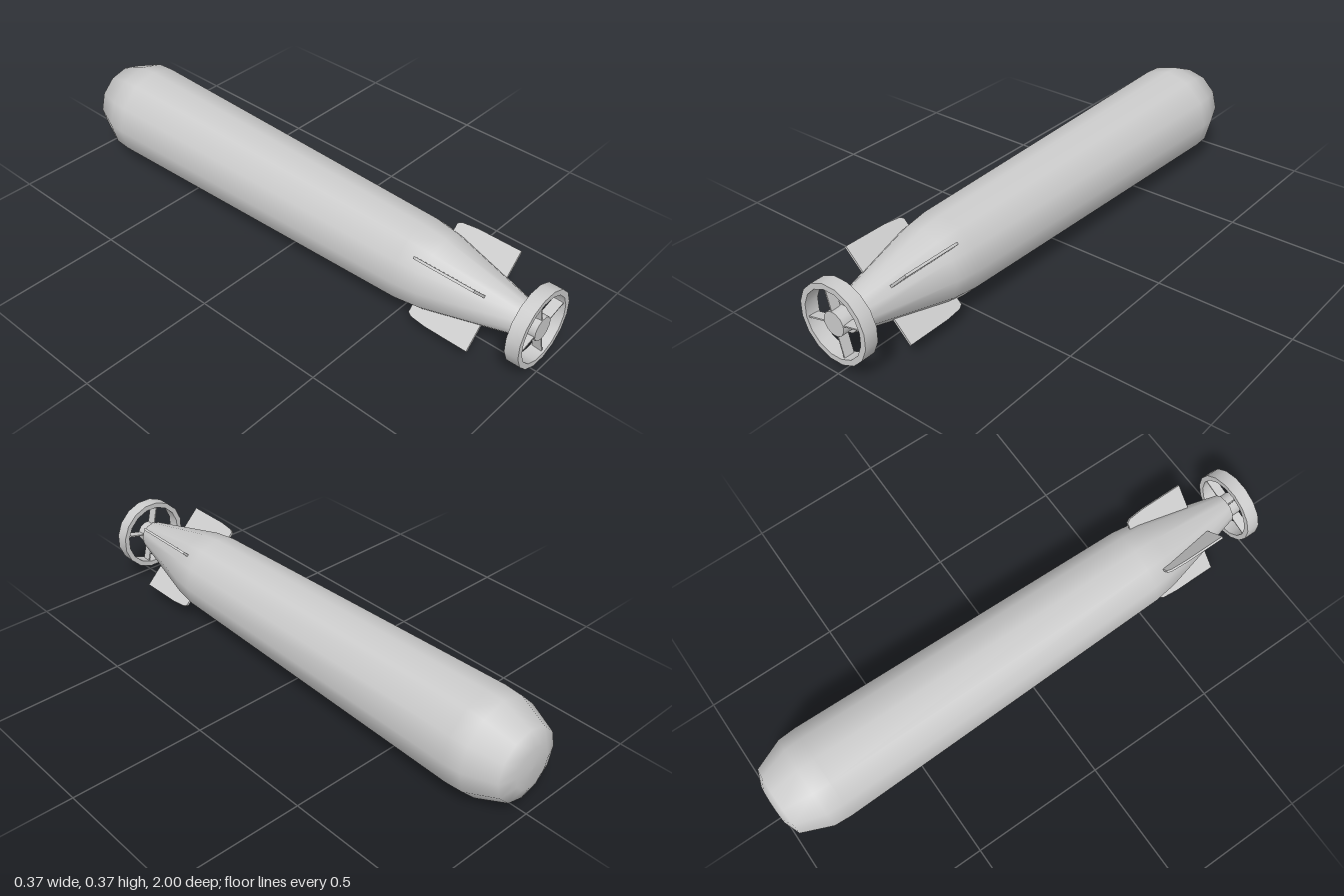
import * as THREE from 'three';
import { toCreasedNormals } from 'three/addons/utils/BufferGeometryUtils.js';

const AXIS_Y = 0.183;
const material = new THREE.MeshStandardMaterial({ color: 0xcccccc });

// Revolve [radius, z] pairs around the z axis
function revolve(points, sides, phase = 0) {
  const profile = points.map(([r, z]) => new THREE.Vector2(r, z));
  return new THREE.LatheGeometry(profile, sides, phase).rotateX(Math.PI / 2);
}

function addPart(parent, name, geometry, angle = 0) {
  const mesh = new THREE.Mesh(geometry, material);
  mesh.name = name;
  mesh.rotation.z = angle;
  parent.add(mesh);
  return mesh;
}

export function createModel() {
  const model = new THREE.Group();
  model.name = 'torpedo';
  const assembly = new THREE.Group();
  assembly.name = 'torpedoAssembly';
  assembly.position.y = AXIS_Y;
  model.add(assembly);

  // Tapered hull with a blunt nose at -z and a conical tail at +z
  const hull = revolve([
    [0, -1], [0.075, -0.998], [0.133, -0.975], [0.179, -0.865], [0.183, -0.8],
    [0.152, 0.52], [0.14, 0.61], [0.055, 0.95],
  ], 12);
  addPart(assembly, 'hull', hull);
  addPart(assembly, 'tailCap', new THREE.CircleGeometry(0.055, 12).translate(0, 0, 0.95));

  // Four diagonal stabiliser fins, drawn as radius against z
  const finShape = new THREE.Shape([
    [0.05, 0.575], [0.166, 0.575], [0.175, 0.59], [0.181, 0.65], [0.181, 0.815], [0.05, 0.815],
  ].map(([r, z]) => new THREE.Vector2(r, z)));
  const fin = new THREE.ExtrudeGeometry(finShape, { depth: 0.009, bevelEnabled: false })
    .translate(0, 0, -0.0045).rotateX(Math.PI / 2);

  // Shrouded propeller
  const propeller = new THREE.Group();
  propeller.name = 'propeller';
  assembly.add(propeller);
  const ring = revolve([
    [0.119, 0.95], [0.139, 0.95], [0.139, 1], [0.119, 1], [0.119, 0.95],
  ], 16, Math.PI / 16);
  addPart(propeller, 'shroudRing', toCreasedNormals(ring, 0.7));
  const hub = revolve([[0.043, 0.93], [0.043, 0.995], [0, 0.995]], 12, Math.PI / 12);
  addPart(propeller, 'hub', toCreasedNormals(hub, 0.7));
  const blade = new THREE.BoxGeometry(0.085, 0.005, 0.036)
    .rotateX(0.06).translate(0.08, 0, 0.974);

  for (let i = 0; i < 4; i++) {
    const turn = i * Math.PI / 2;
    addPart(assembly, 'fin', fin, turn + Math.PI / 4);
    addPart(propeller, 'blade', blade, turn + 0.24);
  }
  return model;
}
